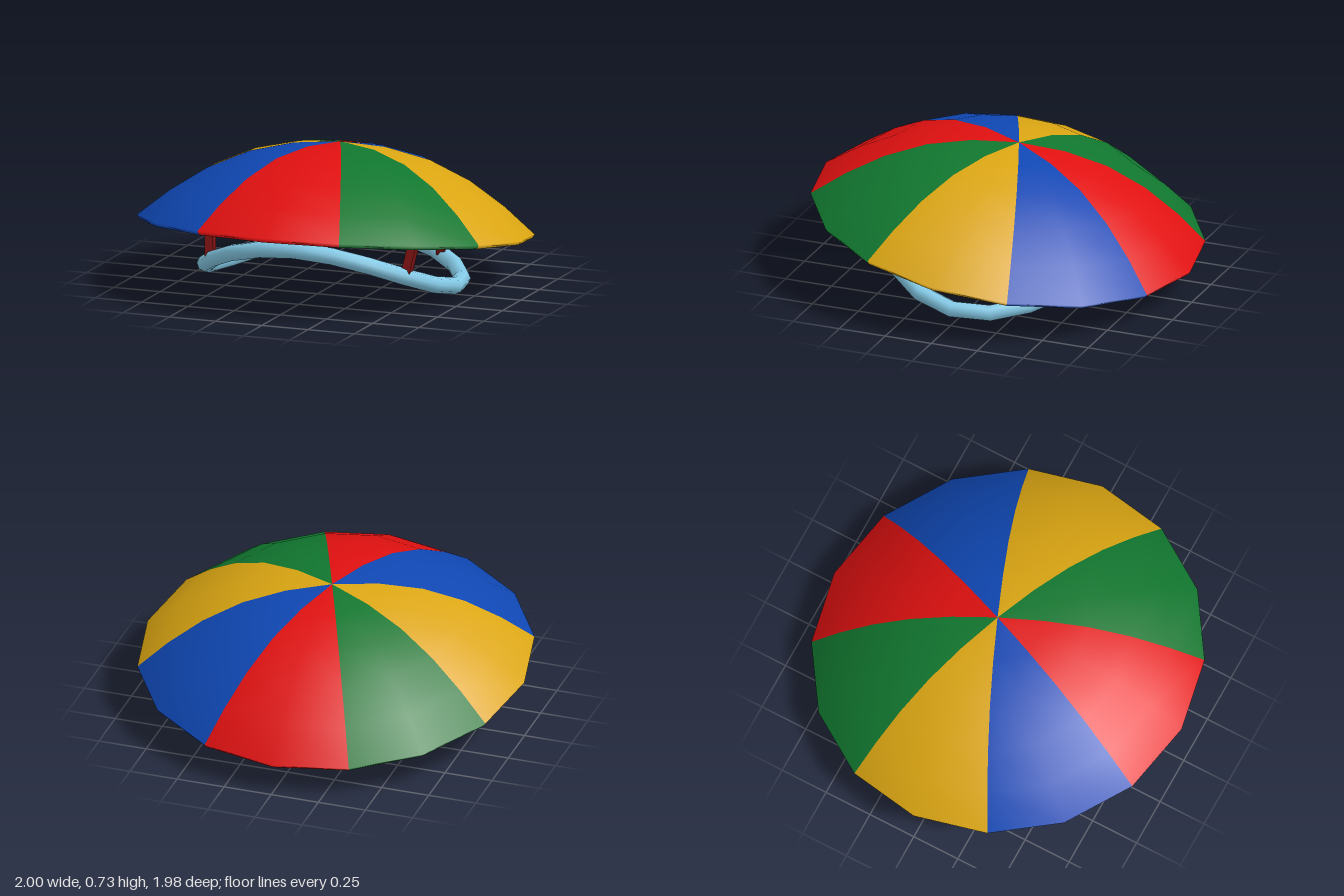
import * as THREE from 'three';

const mat = (name, color) => {
  const m = new THREE.MeshStandardMaterial({ color });
  m.name = name;
  return m;
};

// Saddle-shaped closed loop followed by the headband
class BandCurve extends THREE.Curve {
  getPoint(t, target = new THREE.Vector3()) {
    const a = t * Math.PI * 2, s = Math.sin(a);
    return target.set(0.657 * Math.cos(a), 0.055 + 0.075 * s + 0.175 * s * s, 0.03 + 0.565 * s);
  }
}

export function createModel() {
  const group = new THREE.Group();
  const panels = [
    mat('red', 0xe01010), mat('green', 0x11772f),
    mat('yellow', 0xdaa512), mat('blue', 0x0f47b3),
  ];
  const skyBlue = mat('sky blue', 0x87ceeb);
  const darkRed = mat('dark red', 0x7d1212);

  // Canopy: eight wedges of a thin shallow dome, tilted up at the front
  const canopy = new THREE.Group();
  canopy.name = 'canopy';
  const outer = [[1, 0.008], [0.84, 0.142], [0.66, 0.263], [0.455, 0.357], [0.235, 0.41], [0, 0.428]];
  const inner = outer.map(([r, h]) => [r * 0.986, h - 0.02]).reverse();
  const profile = [...inner, ...outer].map(([r, h]) => new THREE.Vector2(r, h));
  const step = Math.PI / 4;
  for (let i = 0; i < 8; i++) {
    const wedge = new THREE.Mesh(
      new THREE.LatheGeometry(profile, 2, (i - 0.5) * step, step), panels[i % 4]);
    wedge.name = 'canopyPanel' + (i + 1);
    canopy.add(wedge);
  }
  canopy.position.y = 0.3;
  canopy.rotation.x = -0.142;
  group.add(canopy);

  // Headband
  const band = new THREE.Mesh(
    new THREE.TubeGeometry(new BandCurve(), 20, 0.043, 8, true), skyBlue);
  band.name = 'headband';
  group.add(band);

  // Struts joining headband and canopy
  const addStrut = (name, from, to) => {
    const a = new THREE.Vector3(...from), b = new THREE.Vector3(...to);
    const strut = new THREE.Mesh(new THREE.BoxGeometry(0.045, a.distanceTo(b), 0.045), darkRed);
    strut.name = name;
    strut.position.copy(a).add(b).multiplyScalar(0.5);
    strut.quaternion.setFromUnitVectors(new THREE.Vector3(0, 1, 0), b.sub(a).normalize());
    group.add(strut);
  };
  for (const [side, s] of [['left', 1], ['right', -1]]) {
    addStrut(side + 'FrontStrut', [s * 0.53, 0.18, 0.37], [s * 0.585, 0.575, 0.25]);
    addStrut(side + 'BackStrut', [s * 0.42, 0.11, -0.38], [s * 0.455, 0.53, -0.33]);
  }
  return group;
}
